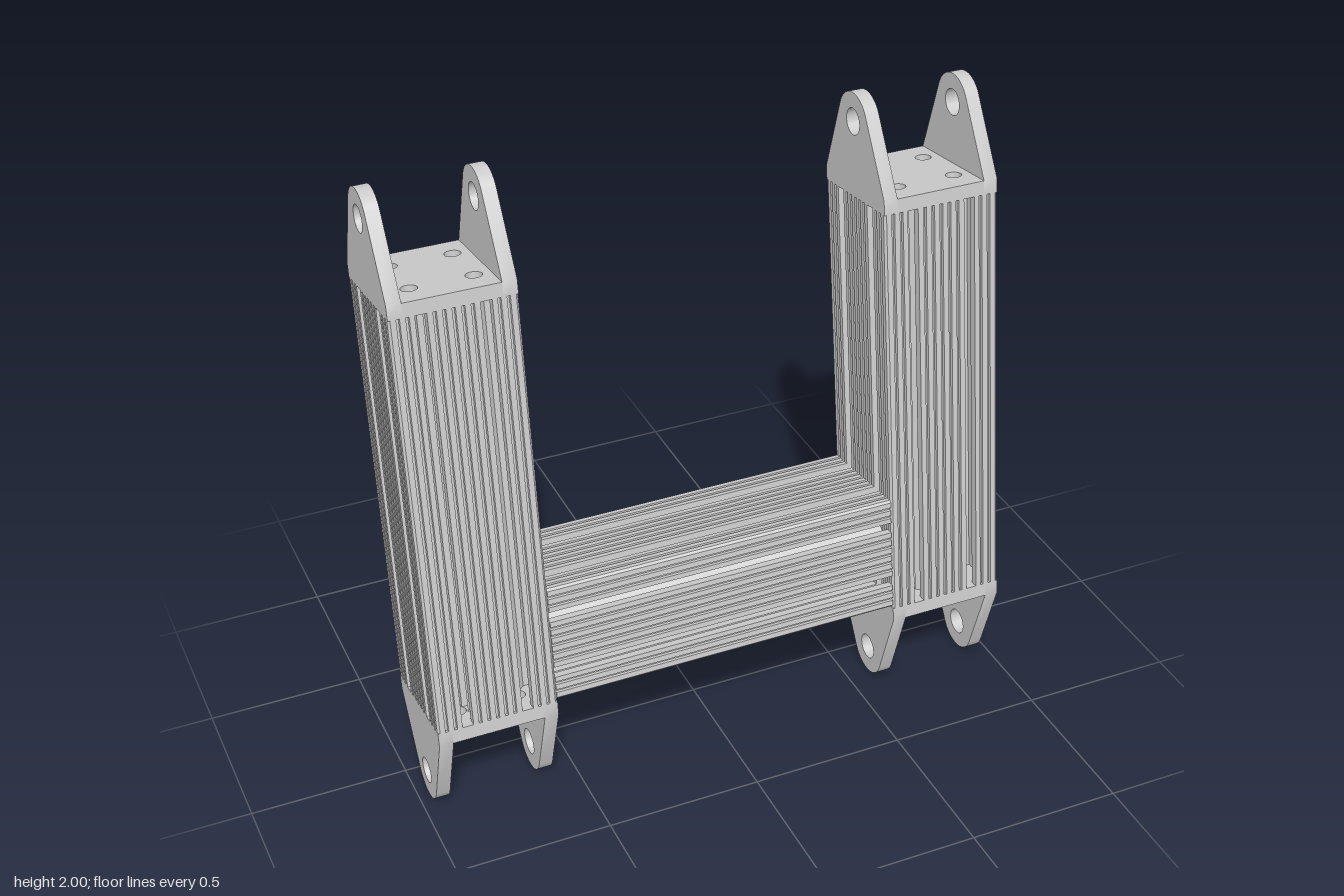
import * as THREE from 'three';
import { toCreasedNormals } from 'three/addons/utils/BufferGeometryUtils.js';

const H = 0.1925;        // half width of the square slotted profile
const C = H / 2;         // slot and bolt offset from the profile axis
const LEG_X = 0.7725;    // distance of each leg from the middle
const LEG_LEN = 1.35;
const PLATE = 0.045;     // bracket sheet thickness
const EYE_Y = 0.916;     // pivot hole distance from the middle of the leg
const EYE_R = 0.092;
const CROSS_Y = -0.475;  // crossbar position along the legs
const TILT = THREE.MathUtils.degToRad(-8);

const mat = new THREE.MeshStandardMaterial({ color: 0xcccccc });

function mesh(name, geo) {
  const m = new THREE.Mesh(toCreasedNormals(geo, 0.5), mat);
  m.name = name;
  return m;
}

function extrude(shape, depth) {
  return new THREE.ExtrudeGeometry(shape, { depth, bevelEnabled: false, curveSegments: 20 })
    .translate(0, 0, -depth / 2);
}

function hole(x, y, r) {
  const p = new THREE.Path();
  p.absarc(x, y, r, 0, Math.PI * 2, true);
  return p;
}

const shapeOf = pts => new THREE.Shape(pts.map(p => new THREE.Vector2(p[0], p[1])));

// Shallow grooves along the outer face, at the given positions
const grooves = at => at.flatMap(x =>
  [[x - 0.005, H], [x - 0.004, H - 0.01], [x + 0.004, H - 0.01], [x + 0.005, H]]);

// Slotted profile section: four corner rails, four side rails and a core
function profileShapes() {
  const lane = 0.0175, lip = H - 0.0275;
  const inner = C - lane, outer = C + lane;
  const face = grooves([0.135, 0.163]);
  const corner = [
    [outer, H], ...face, [H - 0.007, H], [H, H - 0.007],
    ...face.map(([x, y]) => [y, x]).reverse(),
    [H, outer], [lip, outer], [lip, 0.14], [0.14, 0.14], [0.14, lip], [outer, lip],
  ];
  const side = [
    [-inner, H], ...grooves([-0.056, -0.028, 0, 0.028, 0.056]), [inner, H],
    [inner, lip], [0.055, lip], [0.055, 0.13], [0.07, outer],
    [-0.07, outer], [-0.055, 0.13], [-0.055, lip], [-inner, lip],
  ];
  const core = [[-inner, -inner], [inner, -inner], [inner, inner], [-inner, inner]];
  return { corner: shapeOf(corner), side: shapeOf(side), core: shapeOf(core) };
}

// A complete profile running along z
function profile(name, length) {
  const g = new THREE.Group();
  g.name = name;
  const s = profileShapes();
  g.add(mesh('coreRail', extrude(s.core, length)));
  for (let i = 0; i < 4; i++) {
    for (const key of ['corner', 'side']) {
      g.add(mesh(key + 'Rail', extrude(s[key], length).rotateZ(i * Math.PI / 2)));
    }
  }
  return g;
}

// Clevis bracket: drilled base plate with two rounded lugs
function bracket(name) {
  const g = new THREE.Group();
  g.name = name;
  const base = LEG_LEN / 2, top = base + PLATE;

  const w = H - PLATE;
  const plate = shapeOf([[-w, -H], [w, -H], [w, H], [-w, H]]);
  for (const x of [-C, C]) for (const z of [-C, C]) plate.holes.push(hole(x, z, 0.025));
  g.add(mesh('basePlate', extrude(plate, PLATE).rotateX(Math.PI / 2).translate(0, base + PLATE / 2, 0)));

  // Lug sides run tangent into the rounded eye
  const dx = H, dy = top - EYE_Y;
  const a = Math.atan2(dy, dx) + Math.acos(EYE_R / Math.hypot(dx, dy));
  const lug = new THREE.Shape();
  lug.moveTo(-H, base);
  lug.lineTo(H, base);
  lug.lineTo(H, top);
  lug.absarc(0, EYE_Y, EYE_R, a, Math.PI - a, false);
  lug.lineTo(-H, top);
  lug.closePath();
  lug.holes.push(hole(0, EYE_Y, 0.042));
  for (const s of [-1, 1]) {
    g.add(mesh('lug', extrude(lug, PLATE).rotateY(Math.PI / 2).translate(s * (H - PLATE / 2), 0, 0)));
  }
  return g;
}

// Drilled slot nuts that hold the crossbar to the leg
function slotNuts(side) {
  const g = new THREE.Group();
  g.name = 'slotNuts';
  const s = shapeOf([[-0.03, -0.03], [0.03, -0.03], [0.03, 0.03], [-0.03, 0.03]]);
  s.holes.push(hole(0, 0, 0.021));
  for (const y of [-C, C]) for (const z of [-C, C]) {
    const n = mesh('slotNut', extrude(s, 0.02).rotateY(Math.PI / 2));
    n.position.set(-side * (H - 0.0375), CROSS_Y + y, z);
    g.add(n);
  }
  return g;
}

export function createModel() {
  const model = new THREE.Group();
  model.name = 'linkFrame';
  const frame = new THREE.Group();
  frame.name = 'tiltedFrame';
  frame.position.y = 1;
  frame.rotation.x = TILT;
  model.add(frame);

  // Legs with a bracket at each end
  for (const side of [-1, 1]) {
    const leg = new THREE.Group();
    leg.name = side > 0 ? 'leftLeg' : 'rightLeg';
    leg.position.x = side * LEG_X;
    const bar = profile('legProfile', LEG_LEN);
    bar.rotation.x = Math.PI / 2;
    const lower = bracket('lowerBracket');
    lower.rotation.x = Math.PI;
    leg.add(bar, bracket('upperBracket'), lower, slotNuts(side));
    frame.add(leg);
  }

  // Crossbar between the legs
  const cross = profile('crossbar', 2 * (LEG_X - H));
  cross.rotation.y = Math.PI / 2;
  cross.position.y = CROSS_Y;
  frame.add(cross);

  return model;
}
